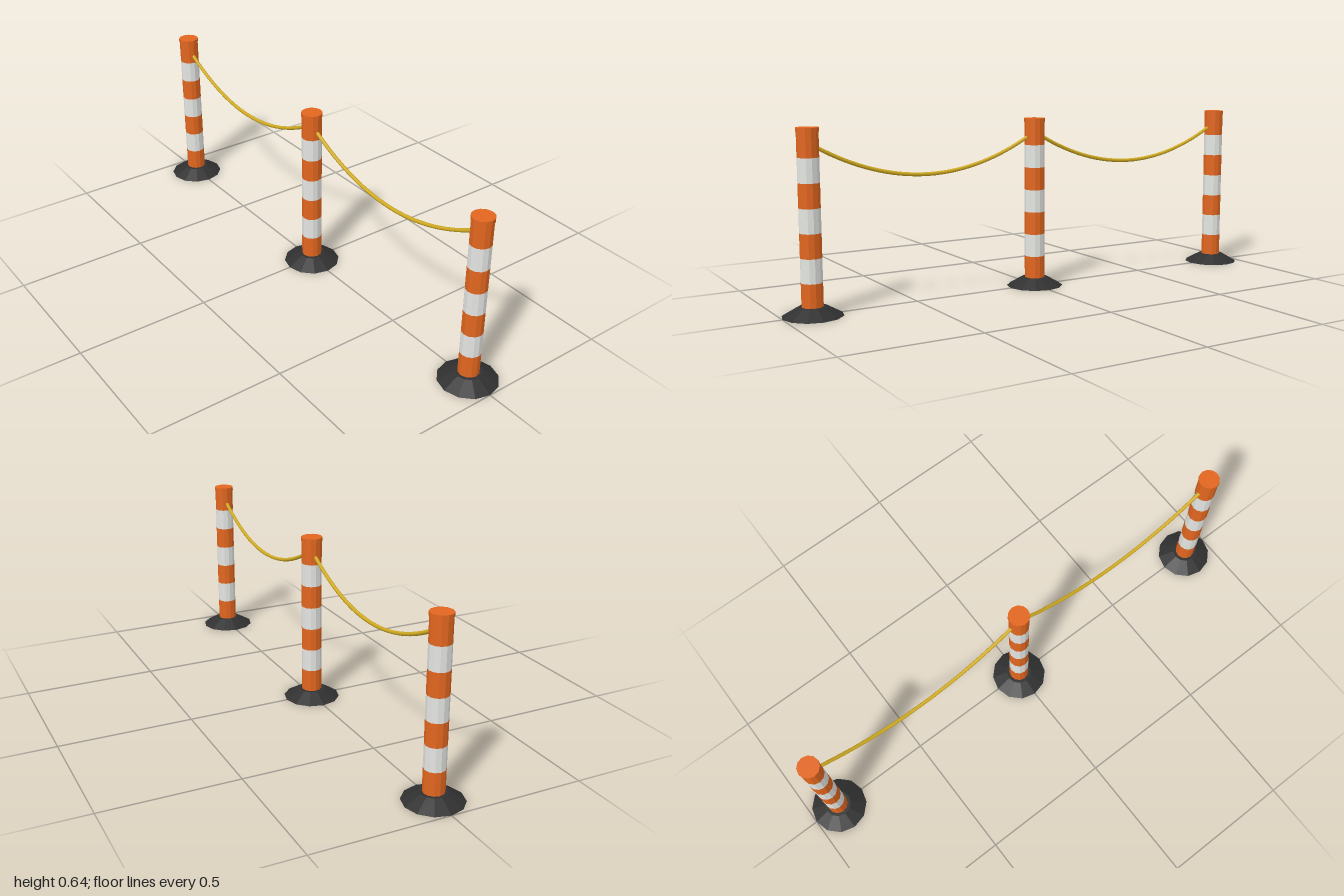
import * as THREE from 'three';

const SIDES = 12;
const SPACING = 0.893;   // distance between neighbouring posts
const POST_R = 0.038;

function flat(name, color) {
  const m = new THREE.MeshStandardMaterial({ color, flatShading: true });
  m.name = name;
  return m;
}

export function createModel() {
  const orange = flat('orange', 0xe2661f);
  const white = flat('white', 0xe4e6e2);
  const black = flat('black rubber', 0x303031);
  const yellow = flat('yellow rope', 0xd2ac22);
  yellow.flatShading = false;

  const model = new THREE.Group();
  model.name = 'ropeBarrier';

  // Faceted drum standing from y0 to y1; end caps are optional
  function drum(parent, name, mat, rTop, rBottom, y0, y1, open = false) {
    const geo = new THREE.CylinderGeometry(rTop, rBottom, y1 - y0, SIDES, 1, open);
    const mesh = new THREE.Mesh(geo, mat);
    mesh.name = name;
    mesh.position.y = (y0 + y1) / 2;
    parent.add(mesh);
  }

  // Striped post on a sloping rubber foot
  function post(name, x) {
    const g = new THREE.Group();
    g.name = name;
    g.position.x = x;
    drum(g, 'base', black, 0.05, 0.107, 0, 0.033);
    const start = 0.0315, band = 0.0855;
    for (let i = 0; i < 7; i++) {
      const isWhite = i % 2 === 1;
      drum(g, isWhite ? 'whiteBand' : 'orangeBand', isWhite ? white : orange,
        POST_R, POST_R, start + i * band, start + (i + 1) * band, true);
    }
    drum(g, 'cap', orange, 0.04, 0.04, 0.63, 0.645);
    model.add(g);
  }

  // Rope hanging in a parabola between two posts
  function rope(name, x0, x1) {
    const points = [];
    const n = 16;
    for (let i = 0; i <= n; i++) {
      const t = i / n, u = 2 * t - 1;
      points.push(new THREE.Vector3(
        THREE.MathUtils.lerp(x0 + 0.03, x1 - 0.03, t), 0.46 + 0.116 * u * u, 0));
    }
    const geo = new THREE.TubeGeometry(new THREE.CatmullRomCurve3(points), 32, 0.007, 8);
    const mesh = new THREE.Mesh(geo, yellow);
    mesh.name = name;
    model.add(mesh);
  }

  post('rightPost', -SPACING);
  post('middlePost', 0);
  post('leftPost', SPACING);
  rope('rightRope', -SPACING, 0);
  rope('leftRope', 0, SPACING);
  return model;
}
